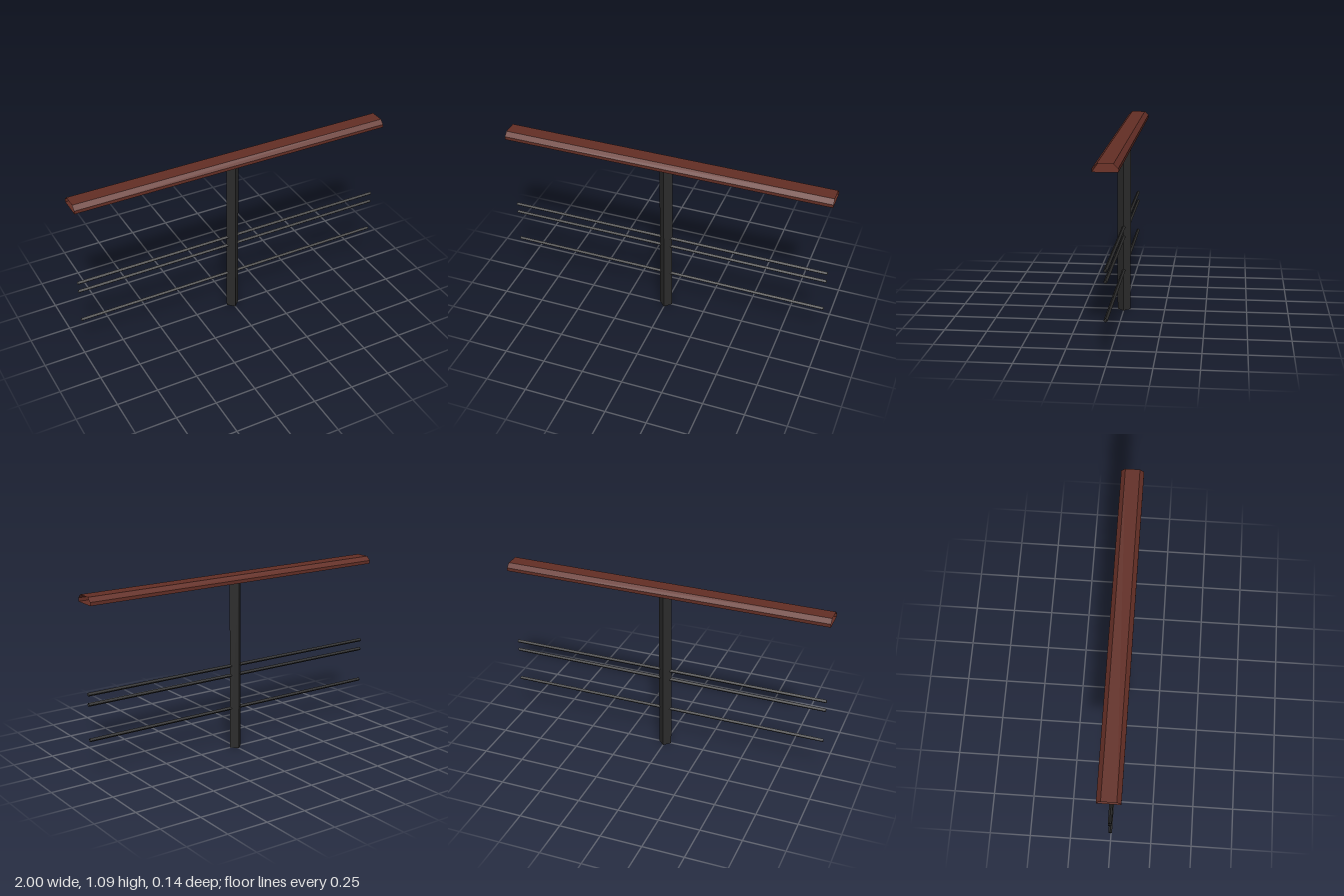
import * as THREE from 'three';

const LENGTH = 2;

// Open-ended prism along x from a closed [z, y] outline
function openPrism(outline, length) {
  const pos = [];
  outline.forEach(([z0, y0], i) => {
    const [z1, y1] = outline[(i + 1) % outline.length];
    const h = length / 2;
    const a = [-h, y0, z0], b = [h, y0, z0], c = [h, y1, z1], d = [-h, y1, z1];
    pos.push(...a, ...b, ...c, ...a, ...c, ...d);
  });
  const geo = new THREE.BufferGeometry();
  geo.setAttribute('position', new THREE.Float32BufferAttribute(pos, 3));
  geo.computeVertexNormals();
  return geo;
}

export function createModel() {
  const wood = new THREE.MeshStandardMaterial({ color: 0x632e25, side: THREE.DoubleSide, flatShading: true });
  wood.name = 'reddish wood';
  const metal = new THREE.MeshStandardMaterial({ color: 0x2b2b2b, side: THREE.DoubleSide, flatShading: true });
  metal.name = 'dark metal';

  const group = new THREE.Group();
  group.name = 'railing';
  const add = (name, geo, mat, y) => {
    const mesh = new THREE.Mesh(geo, mat);
    mesh.name = name;
    mesh.position.y = y;
    group.add(mesh);
    return mesh;
  };

  // Square post set corner-forward
  const postHeight = 1.043;
  add('post', new THREE.CylinderGeometry(0.04, 0.04, postHeight, 4, 1, true), metal, postHeight / 2);

  // Handrail: flat base, upright sides, chamfered top
  const outline = [
    [0.068, 0], [0.068, 0.02], [0.043, 0.044],
    [-0.043, 0.044], [-0.068, 0.02], [-0.068, 0],
  ];
  // Outline runs front to back over the top, so faces point outward
  add('handrail', openPrism(outline, LENGTH), wood, postHeight + 0.001);

  // Horizontal rods through the post
  [0.255, 0.465, 0.525].forEach((y, i) => {
    const rod = add(`rod${i + 1}`, new THREE.CylinderGeometry(0.011, 0.011, LENGTH, 4, 1, true), metal, y);
    rod.rotation.z = Math.PI / 2;
  });

  return group;
}
